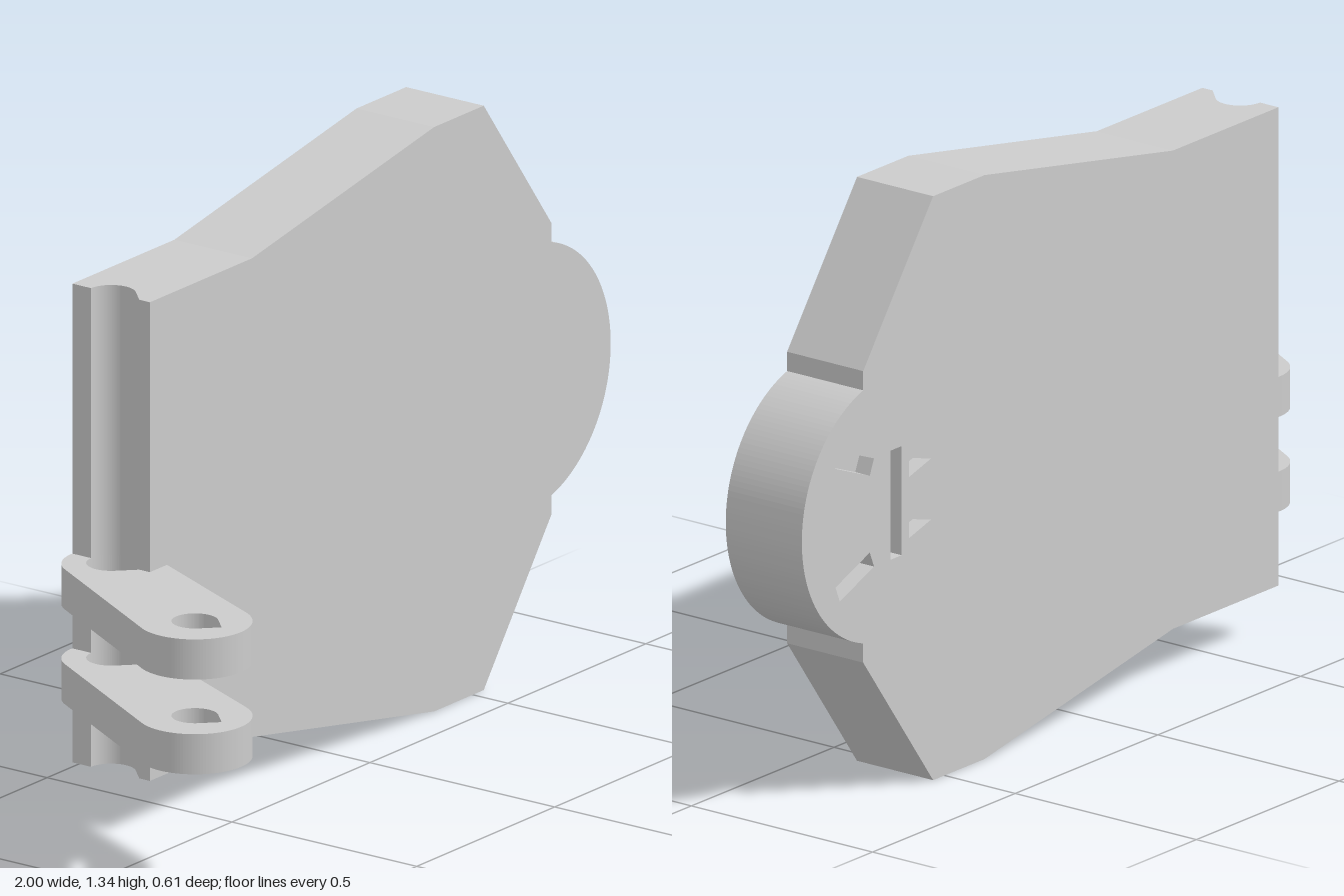
import * as THREE from 'three';

const BACK = -0.305, FRONT = -0.095, MID_Y = 0.669, ENGRAVE = 0.04;
const EDGE_X = -0.67, STRIP_X = -0.6, PIN_Z = -0.2, PIN_R = 0.054;
const material = new THREE.MeshStandardMaterial({ color: 0xcccccc });

function mesh(name, geometry) {
  const m = new THREE.Mesh(geometry, material);
  m.name = name;
  return m;
}

function extrude(shape, depth) {
  return new THREE.ExtrudeGeometry(shape, { depth, bevelEnabled: false, curveSegments: 32 });
}

// Extrudes a plan-view shape (drawn in x, -z) upwards from y
const extrudeUp = (shape, y, height) => extrude(shape, height).rotateX(-Math.PI / 2).translate(0, y, 0);

const polygon = (pts) => new THREE.Path(pts.map(([x, y]) => new THREE.Vector2(x, y)));

// Printable pin hole: a circle with a 45 degree point
function teardrop(x, z, r) {
  const p = new THREE.Path();
  p.absarc(x, -z, r, -Math.PI / 4, Math.PI * 1.25, false);
  p.lineTo(x, -z - r * Math.SQRT2);
  p.closePath();
  return p;
}

// Symmetric plate outline ending in a round nose
function plateOutline() {
  const half = [[STRIP_X, 0.548], [-0.3, 0.548], [0.36, MID_Y], [0.54, MID_Y], [0.785, 0.334], [0.785, 0.29]];
  const s = new THREE.Shape();
  half.forEach(([x, h], i) => (i ? s.lineTo(x, MID_Y - h) : s.moveTo(x, MID_Y - h)));
  const cx = 0.697, r = 0.303, a = Math.atan2(0.29, 0.785 - cx);
  s.absarc(cx, MID_Y, r, -a, a, false);
  [...half].reverse().forEach(([x, h]) => s.lineTo(x, MID_Y + h));
  s.closePath();
  return s;
}

// Engraved marks on the back of the nose
function engravings() {
  const marks = [polygon([[0.65, 0.545], [0.69, 0.545], [0.69, 0.795], [0.65, 0.795]])];
  for (const s of [1, -1]) {
    const slot = [[0.762, 0.088], [0.882, 0.136], [0.867, 0.172], [0.747, 0.124]];
    marks.push(polygon(slot.map(([x, h]) => [x, MID_Y + s * h])));
    const c = MID_Y + s * 0.07;
    marks.push(polygon([[0.625, c - 0.022], [0.625, c + 0.022], [0.547, c]]));
  }
  return marks;
}

// Hinge edge with a half teardrop groove running its whole height
function hingeEdge() {
  const s = new THREE.Shape();
  s.moveTo(STRIP_X, -FRONT);
  s.lineTo(STRIP_X, -BACK);
  s.lineTo(EDGE_X, -BACK);
  s.lineTo(EDGE_X, -PIN_Z + PIN_R);
  s.absarc(EDGE_X, -PIN_Z, PIN_R, Math.PI / 2, -Math.PI / 4, true);
  s.lineTo(EDGE_X, -PIN_Z - PIN_R * Math.SQRT2);
  s.lineTo(EDGE_X, -FRONT);
  s.closePath();
  return extrudeUp(s, MID_Y - 0.548, 1.096);
}

// Tapered link with rounded ends and two pin holes
function armGeometry(y, height) {
  const a = { x: -0.875, z: 0.18, r: 0.125 }, b = { x: EDGE_X - 0.005, z: PIN_Z, r: 0.105 };
  const dir = Math.atan2(a.z - b.z, b.x - a.x);
  const tilt = Math.acos((a.r - b.r) / Math.hypot(b.x - a.x, b.z - a.z));
  const s = new THREE.Shape();
  s.absarc(a.x, -a.z, a.r, dir + tilt, dir - tilt + Math.PI * 2, false);
  s.absarc(b.x, -b.z, b.r, dir - tilt, dir + tilt, false);
  s.closePath();
  s.holes.push(teardrop(a.x, a.z, 0.051), teardrop(EDGE_X, PIN_Z, PIN_R));
  return extrudeUp(s, y, height);
}

export function createModel() {
  const model = new THREE.Group();
  model.name = 'hingedPlate';

  const plate = new THREE.Group();
  plate.name = 'plate';
  const front = extrude(plateOutline(), FRONT - BACK - ENGRAVE).translate(0, 0, BACK + ENGRAVE);
  const skin = plateOutline();
  skin.holes.push(...engravings());
  plate.add(
    mesh('plateBody', front),
    mesh('engravedBack', extrude(skin, ENGRAVE).translate(0, 0, BACK)),
    mesh('hingeEdge', hingeEdge())
  );
  model.add(plate);

  model.add(mesh('lowerHingeArm', armGeometry(0.29, 0.092)));
  model.add(mesh('upperHingeArm', armGeometry(0.507, 0.092)));
  return model;
}
